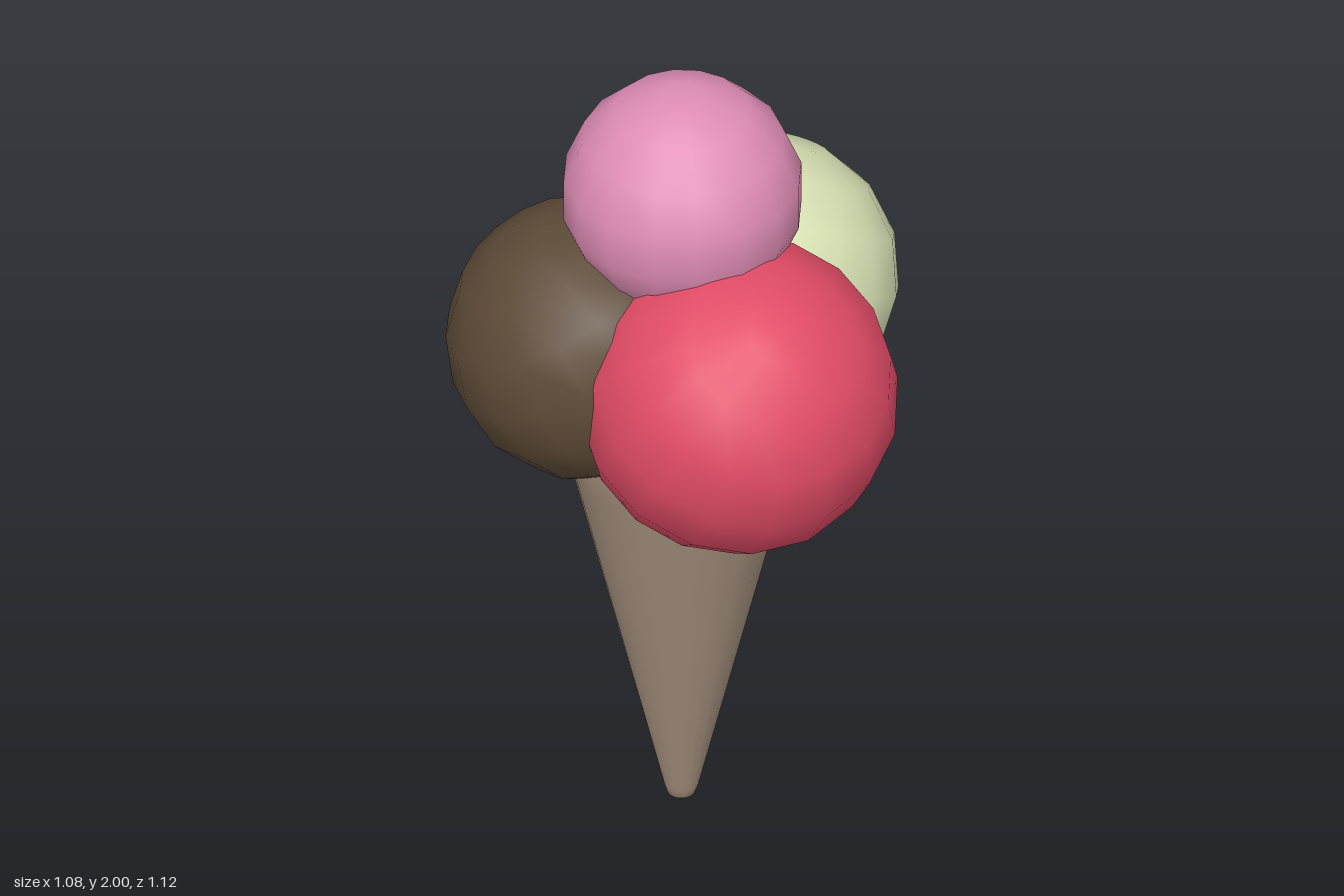
import * as THREE from 'three';

const mat = (name, color) => {
  const m = new THREE.MeshStandardMaterial({ color });
  m.name = name;
  return m;
};

// Low-poly ball with flat polar caps and rounded shading
function scoopGeometry(r) {
  const points = [new THREE.Vector2(0, -r * Math.cos(Math.PI / 16))];
  for (let i = 0; i < 8; i++) {
    const a = (i + 0.5) * Math.PI / 8;
    points.push(new THREE.Vector2(r * Math.sin(a), -r * Math.cos(a)));
  }
  points.push(new THREE.Vector2(0, r * Math.cos(Math.PI / 16)));
  const geo = new THREE.LatheGeometry(points, 16);
  const p = geo.attributes.position, n = geo.attributes.normal, v = new THREE.Vector3();
  for (let i = 0; i < p.count; i++) {
    v.fromBufferAttribute(p, i).normalize();
    n.setXYZ(i, v.x, v.y, v.z);
  }
  return geo;
}

export function createModel() {
  const group = new THREE.Group();
  group.name = 'iceCreamCone';

  // Tapered cone with a rounded tip; its rim is tucked inside the scoops
  const profile = [[0, 0], [0.02, 0.003], [0.033, 0.014], [0.041, 0.04],
    [0.15, 0.508], [0.262, 0.99], [0.277, 1.07], [0.27, 1.14], [0.2, 1.2], [0, 1.22]];
  const cone = new THREE.Mesh(
    new THREE.LatheGeometry(profile.map(([x, y]) => new THREE.Vector2(x, y)), 20),
    mat('wafer', 0xa38f7c));
  cone.name = 'cone';
  cone.position.set(0, 0, 0.05);
  group.add(cone);

  // Scoops: name, colour name, colour, radius, centre, tilt
  const scoops = [
    ['topScoop', 'pink', 0xe08db5, 0.283, [-0.005, 1.7225, 0.02], [0, 0, 0]],
    ['rightScoop', 'chocolate', 0x5d4a37, 0.334, [-0.21, 1.312, 0.09], [0.15, 0, 0.5]],
    ['leftScoop', 'red', 0xe14b66, 0.376, [0.17, 1.29, 0.187], [0.45, 0, -0.4]],
    ['backScoop', 'paleGreen', 0xd6dfb2, 0.332, [0.108, 1.32, -0.234], [-0.5, 0, -0.2]],
  ];
  for (const [name, colourName, colour, r, centre, tilt] of scoops) {
    const scoop = new THREE.Mesh(scoopGeometry(r), mat(colourName, colour));
    scoop.name = name;
    scoop.position.set(...centre);
    scoop.rotation.set(...tilt);
    group.add(scoop);
  }
  return group;
}
